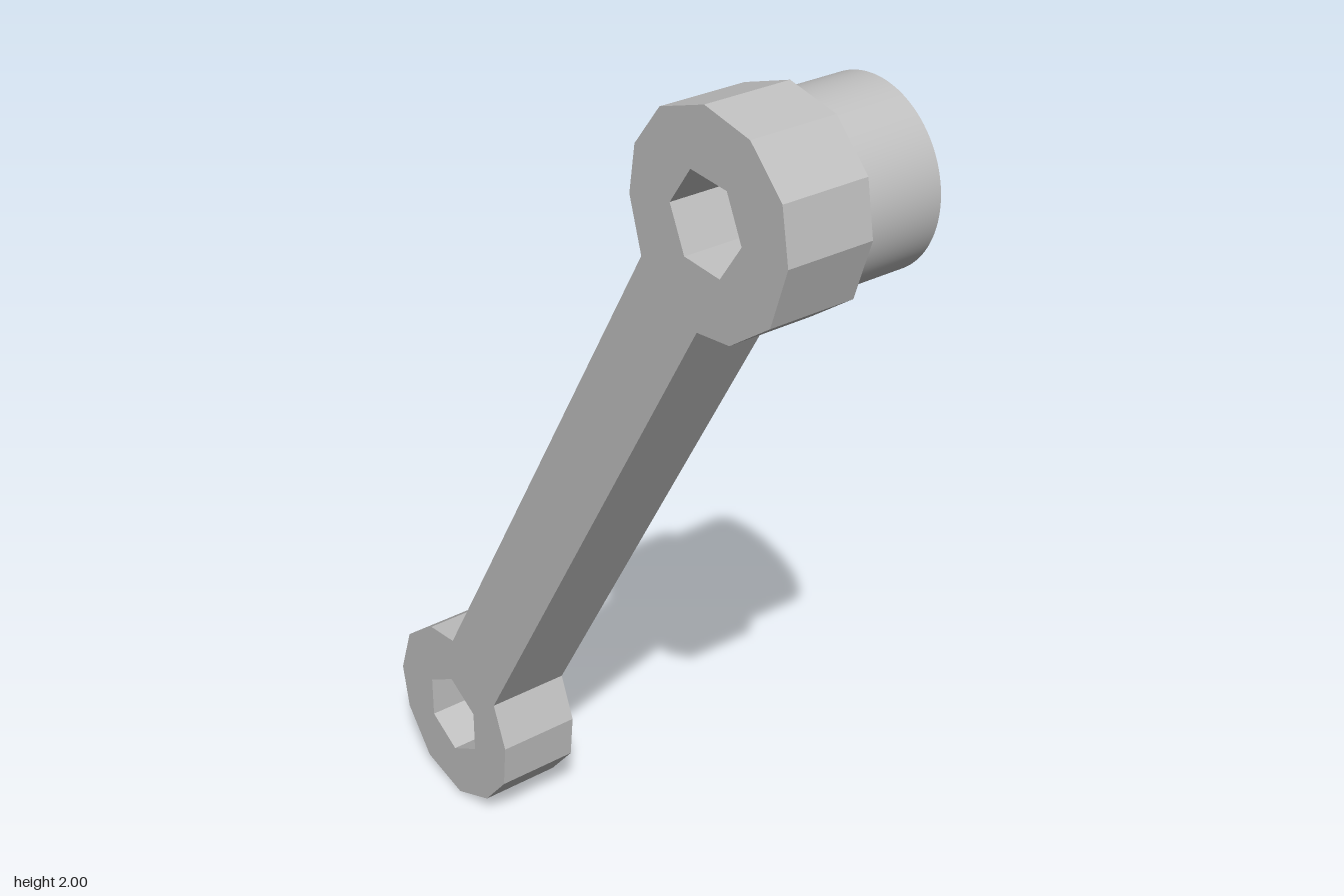
import * as THREE from 'three';
import { toCreasedNormals } from 'three/addons/utils/BufferGeometryUtils.js';

const THICK = 0.19;

// Extrudes a side outline (horizontal axis = -z, vertical = y) along +x, starting at x0.
function sideExtrude(shape, x0, crease) {
  const geo = new THREE.ExtrudeGeometry(shape, { depth: THICK, bevelEnabled: false, curveSegments: 48 });
  geo.rotateY(Math.PI / 2);
  geo.translate(x0, 0, 0);
  return toCreasedNormals(geo, crease);
}

const points = (list) => list.map(([u, v]) => new THREE.Vector2(u, v));

// Six-sided hole
function hexHole(u, v, r, turn) {
  const corners = [];
  for (let i = 0; i < 6; i++) {
    const a = turn + (i * Math.PI) / 3;
    corners.push([u + r * Math.cos(a), v + r * Math.sin(a)]);
  }
  return new THREE.Path(points(corners));
}

export function createModel() {
  const group = new THREE.Group();
  group.name = 'crankArm';
  const metal = new THREE.MeshStandardMaterial({ color: 0xc0c0c0 });
  metal.name = 'greyMetal';

  // Lever: two faceted hubs joined by a slanted straight bar
  const outline = new THREE.Shape(points([
    // upper hub, front side
    [-0.43, 1.57], [-0.52, 1.58], [-0.625, 1.655], [-0.665, 1.78], [-0.645, 1.89], [-0.56, 1.975],
    [-0.44, 2.0], [-0.32, 1.96], [-0.25, 1.87], [-0.235, 1.77], [-0.27, 1.66],
    // lower hub
    [0.43, 0.435], [0.52, 0.425], [0.62, 0.35], [0.66, 0.235], [0.64, 0.13], [0.56, 0.03],
    [0.43, 0], [0.315, 0.05], [0.24, 0.14], [0.23, 0.245], [0.27, 0.345],
  ]));
  outline.holes.push(hexHole(-0.448, 1.785, 0.098, 0.08), hexHole(0.443, 0.22, 0.1, Math.PI / 2));
  const lever = new THREE.Mesh(sideExtrude(outline, -THICK, 0.2), metal);
  lever.name = 'lever';
  group.add(lever);

  // Round handle boss with a smooth bore on the upper hub
  const ring = new THREE.Shape();
  ring.absarc(-0.448, 1.785, 0.185, 0, Math.PI * 2, false);
  const bore = new THREE.Path();
  bore.absarc(-0.448, 1.785, 0.095, 0, Math.PI * 2, true);
  ring.holes.push(bore);
  const boss = new THREE.Mesh(sideExtrude(ring, 0, 0.6), metal);
  boss.name = 'handleBoss';
  group.add(boss);

  return group;
}
